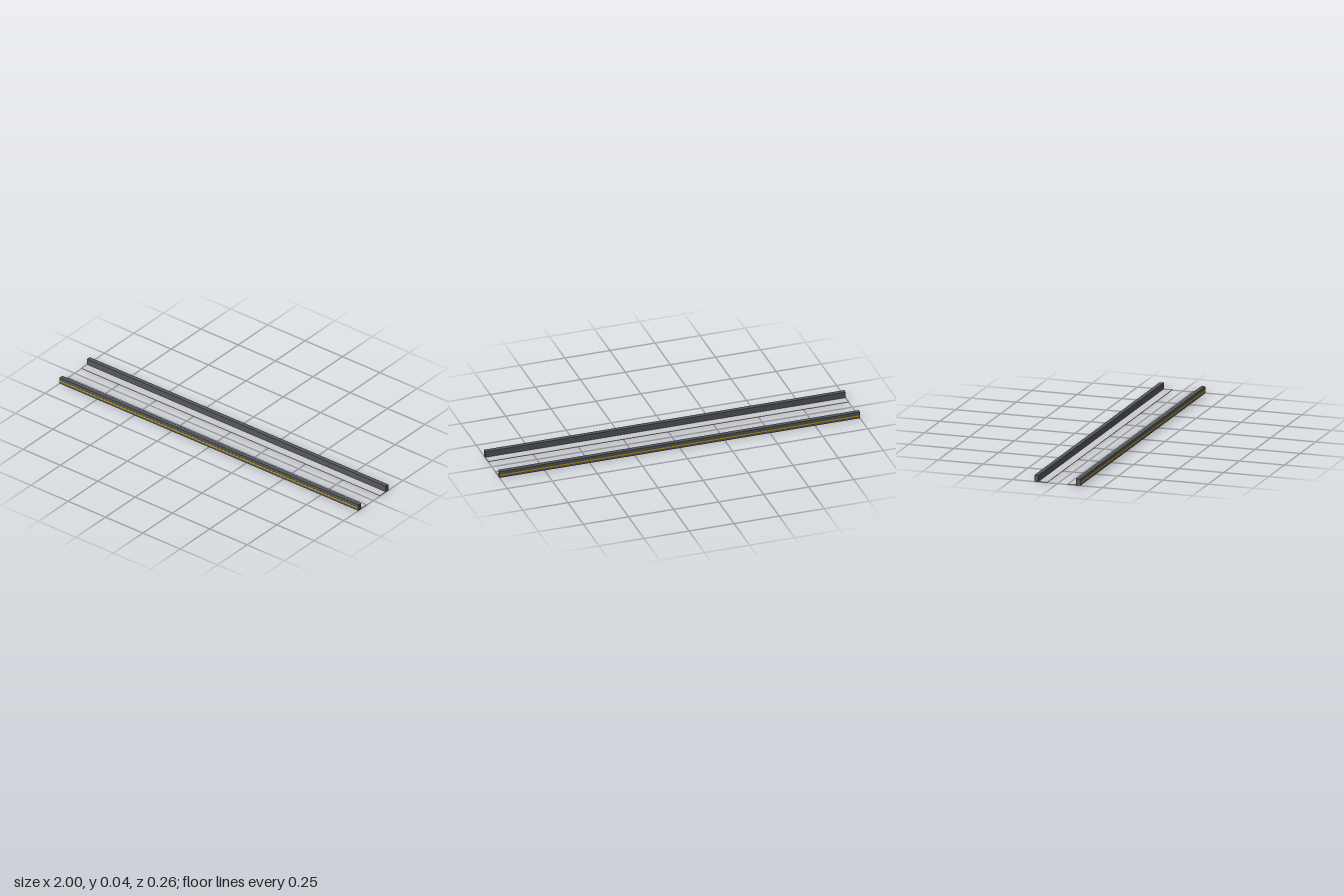
import * as THREE from 'three';

const LENGTH = 2;
const paint = (color) => new THREE.MeshStandardMaterial({ color });

// Full-length bar spanning the given y and z ranges
function bar(name, y0, y1, z0, z1, material) {
  const mesh = new THREE.Mesh(new THREE.BoxGeometry(LENGTH, y1 - y0, z1 - z0), material);
  mesh.position.set(0, (y0 + y1) / 2, (z0 + z1) / 2);
  mesh.name = name;
  return mesh;
}

export function createModel() {
  const model = new THREE.Group();
  model.name = 'railPair';
  const dark = paint(0x555960);
  const light = paint(0xcccccc);
  const yellow = paint(0xe0a800);

  // Two identical rails facing outward, one turned round
  ['frontRail', 'backRail'].forEach((name, i) => {
    const rail = new THREE.Group();
    rail.name = name;
    rail.add(
      bar('curb', 0, 0.0365, 0.104, 0.127, dark),
      bar('flange', 0, 0.003, 0.056, 0.104, light),
      bar('stripe', 0.0125, 0.0195, 0.1265, 0.128, yellow),
    );
    rail.rotation.y = i * Math.PI;
    model.add(rail);
  });
  return model;
}
